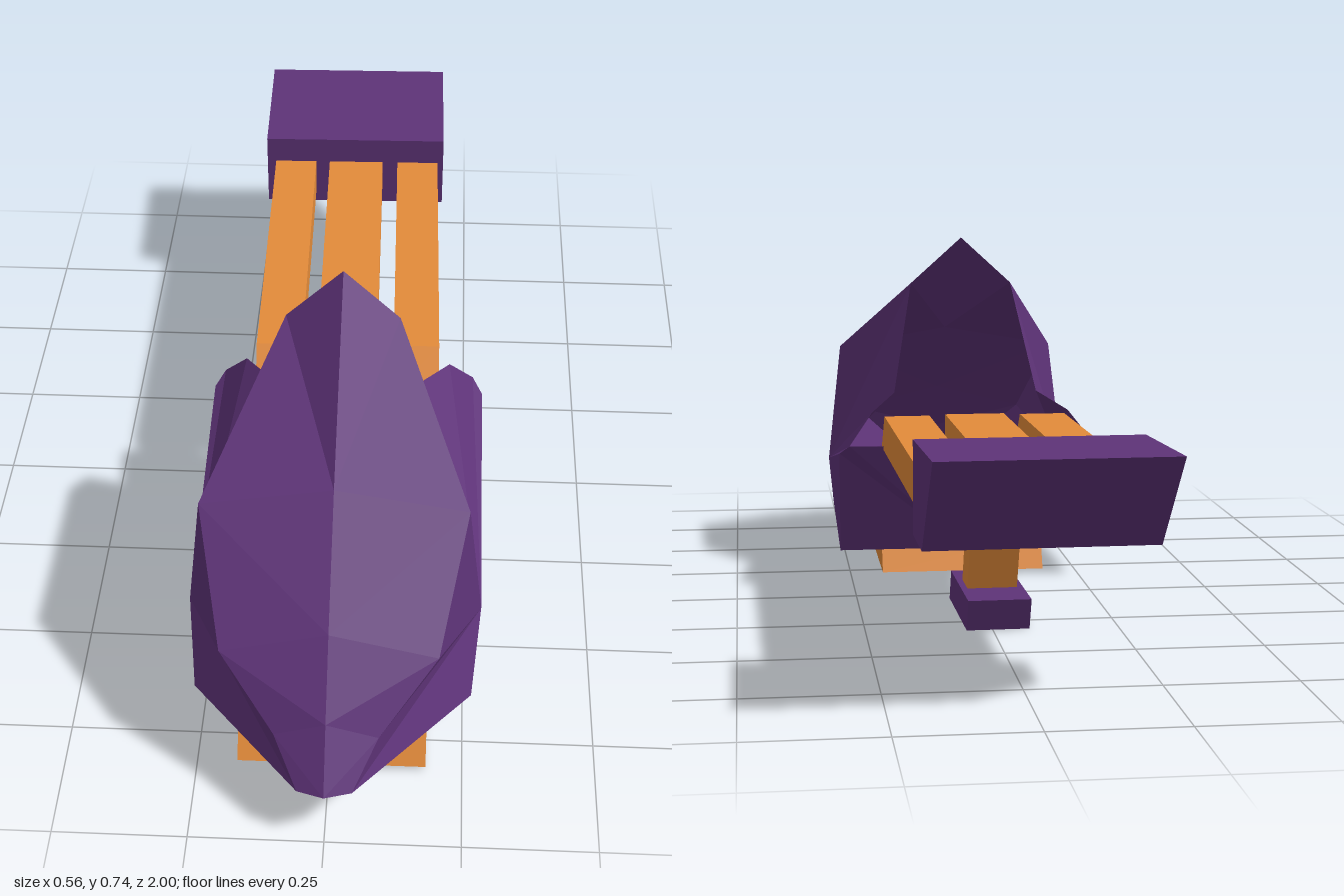
import * as THREE from 'three';

const purple = new THREE.MeshStandardMaterial({ color: 0x5e3378, flatShading: true, side: THREE.DoubleSide });
purple.name = 'purple';
const orange = new THREE.MeshStandardMaterial({ color: 0xe38b3a, flatShading: true });
orange.name = 'orange';

// Side profile of [z, y] points, extruded across x and centred on x
function slab(name, profile, width, x, material) {
  const shape = new THREE.Shape(profile.map(([z, y]) => new THREE.Vector2(z, y)));
  const geometry = new THREE.ExtrudeGeometry(shape, { depth: width, bevelEnabled: false });
  geometry.translate(0, 0, -width / 2).rotateY(-Math.PI / 2).translate(x, 0, 0);
  const mesh = new THREE.Mesh(geometry, material);
  mesh.name = name;
  return mesh;
}

// Hollow faceted cowl, open at the back of the windshield
function cowl() {
  // Centre ridge and hood edge, nose to peak
  const ridge = [[0, 0.122, 1], [0, 0.225, 0.92], [0, 0.34, 0.81], [0, 0.508, 0.61], [0, 0.74, 0.25]];
  const edge = [[0.05, 0.115, 0.98], [0.095, 0.185, 0.91], [0.2, 0.29, 0.81], [0.25, 0.465, 0.61], [0.11, 0.64, 0.26]];
  // Cockpit rim, from the peak down to the rear corner
  const rim = [[0.155, 0.41, 0.165], [0.21, 0.38, 0.07], [0.26, 0.315, 0.03]];
  const hip = [0.28, 0.295, 0.06];
  const side = [0.28, 0.2, 0.59];
  const frontCorner = [0.265, 0.075, 0.7], rearCorner = [0.275, 0.065, 0.16];
  const frontBase = [0, 0.08, 0.75], rearBase = [0, 0.065, 0.16], rearTop = [0, 0.31, 0.03];
  const triangles = [];

  // Hood
  for (let i = 0; i < 4; i++) {
    triangles.push([ridge[i], edge[i], edge[i + 1]], [ridge[i], edge[i + 1], ridge[i + 1]]);
  }
  // Flank, fanned around its widest point
  const ring = [hip, ...[...rim].reverse(), ...[...edge].reverse(), frontCorner, rearCorner, hip];
  for (let i = 0; i < ring.length - 1; i++) triangles.push([side, ring[i], ring[i + 1]]);
  // Underside and rear panel
  triangles.push(
    [ridge[0], frontBase, frontCorner], [ridge[0], frontCorner, edge[0]],
    [frontBase, rearBase, rearCorner], [frontBase, rearCorner, frontCorner],
    [rearBase, rearTop, rim[2]], [rearBase, rim[2], hip], [rearBase, hip, rearCorner]);

  // Mirror to the other half
  const positions = [];
  for (const [a, b, c] of triangles) {
    positions.push(...a, ...b, ...c);
    for (const [x, y, z] of [a, c, b]) positions.push(-x, y, z);
  }
  const geometry = new THREE.BufferGeometry();
  geometry.setAttribute('position', new THREE.Float32BufferAttribute(positions, 3));
  geometry.computeVertexNormals();
  const mesh = new THREE.Mesh(geometry, purple);
  mesh.name = 'cowl';
  return mesh;
}

export function createModel() {
  const model = new THREE.Group();
  model.name = 'speeder';
  model.add(cowl());

  // Keel under the cowl
  model.add(slab('keel', [[0.78, 0.08], [0.825, 0.01], [0.175, 0.01], [0.21, 0.08]], 0.355, 0.004, orange));

  // Tail assembly, very slightly turned
  const tail = new THREE.Group();
  tail.name = 'tail';
  tail.rotation.y = 0.018;
  for (const x of [-0.147, 0.14]) {
    tail.add(slab('sideBoom', [[0.015, 0.38], [0.08, 0.305], [-0.7, 0.305], [-0.7, 0.38]], 0.095, x, orange));
  }
  tail.add(slab('centreBoom', [[0.03, 0.38], [0.03, 0.305], [-0.7, 0.305], [-0.7, 0.38]], 0.125, -0.005, orange));
  tail.add(slab('tailBlock', [[-0.69, 0.44], [-0.69, 0.27], [-0.83, 0.27], [-0.995, 0.45]], 0.415, -0.007, purple));

  // Stand below the booms
  tail.add(slab('strut', [[-0.25, 0.31], [-0.33, 0.31], [-0.235, 0.06], [-0.155, 0.06]], 0.1, -0.005, orange));
  tail.add(slab('foot', [[-0.07, 0.065], [-0.345, 0.065], [-0.32, 0], [-0.042, 0]], 0.125, -0.005, purple));
  model.add(tail);
  return model;
}
